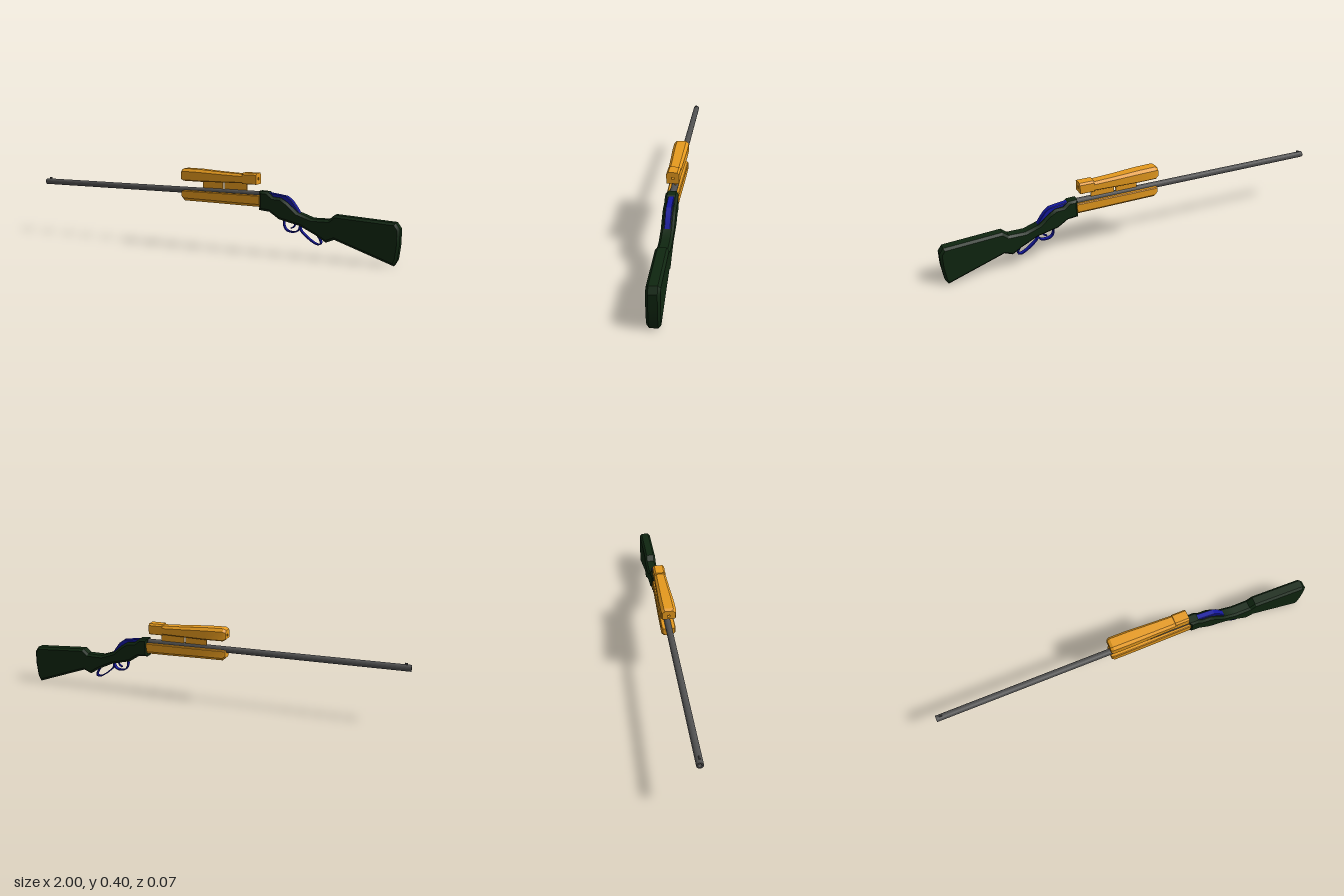
import * as THREE from 'three';
import { toCreasedNormals } from 'three/addons/utils/BufferGeometryUtils.js';

const mat = (color, side = THREE.FrontSide) => new THREE.MeshStandardMaterial({ color, side });

function add(group, name, geometry, material) {
  const mesh = new THREE.Mesh(geometry, material);
  mesh.name = name;
  group.add(mesh);
  return mesh;
}

// Side profile extruded across z to a given half width, with chamfered edges
function slab(points, half, bevel) {
  const shape = new THREE.Shape(points.map(([x, y]) => new THREE.Vector2(x, y)));
  const depth = 2 * (half - bevel);
  const g = new THREE.ExtrudeGeometry(shape, {
    depth, bevelEnabled: bevel > 0, bevelSize: bevel, bevelThickness: bevel,
    bevelOffset: -bevel, bevelSegments: 1,
  });
  g.translate(0, 0, -depth / 2);
  return toCreasedNormals(g, 0.45);
}

// Thin bent strip following a path in the xy plane
function ribbon(points, thickness, half) {
  const curve = new THREE.CatmullRomCurve3(points.map(([x, y]) => new THREE.Vector3(x, y, 0)));
  const n = points.length * 4, left = [], right = [];
  for (let i = 0; i <= n; i++) {
    const p = curve.getPoint(i / n), t = curve.getTangent(i / n);
    const dx = -t.y * thickness / 2, dy = t.x * thickness / 2;
    left.push([p.x + dx, p.y + dy]);
    right.unshift([p.x - dx, p.y - dy]);
  }
  return slab([...left, ...right], half, 0);
}

// Eight-sided cross-section at x: half width w, y0..y1, top and bottom chamfers
function section([x, w, y0, y1, top, bottom]) {
  const a = w - top, b = w - bottom;
  return [[w, y0 + bottom], [w, y1 - top], [a, y1], [-a, y1],
    [-w, y1 - top], [-w, y0 + bottom], [-b, y0], [b, y0]].map(([z, y]) => [x, y, z]);
}

// Skin a closed loop of cross-sections (the last one joins the first)
function loft(stations) {
  const rings = stations.map(section), pos = [], index = [], m = rings.length;
  rings.forEach((ring) => ring.forEach((p) => pos.push(...p)));
  for (let i = 0; i < m; i++) {
    for (let j = 0; j < 8; j++) {
      const k = (j + 1) % 8, n = (i + 1) % m;
      const a = i * 8 + j, b = n * 8 + j, c = n * 8 + k, d = i * 8 + k;
      index.push(a, b, c, a, c, d);
    }
  }
  const g = new THREE.BufferGeometry();
  g.setAttribute('position', new THREE.Float32BufferAttribute(pos, 3));
  g.setIndex(index);
  return toCreasedNormals(g, 0.45);
}

export function createModel() {
  const model = new THREE.Group();
  const steel = mat(0x505050), orange = mat(0xe69a1e), green = mat(0x0f2610);
  const blue = mat(0x1418a0, THREE.DoubleSide);

  // Barrel with a bored muzzle
  const barrelProfile = [[0, -0.9], [0.009, -0.9], [0.009, -1], [0.016, -1], [0.016, 0.34], [0, 0.34]]
    .map(([r, y]) => new THREE.Vector2(r, y));
  const barrel = add(model, 'barrel',
    toCreasedNormals(new THREE.LatheGeometry(barrelProfile, 20), 0.6), steel);
  barrel.rotation.z = -Math.PI / 2;
  barrel.position.y = 0.286;

  // Front sight
  const sight = add(model, 'frontSight', new THREE.BoxGeometry(0.014, 0.01, 0.006), steel);
  sight.position.set(-0.975, 0.304, 0);

  // Fore-end under the barrel
  add(model, 'foreEnd', loft([
    [-0.105, 0, 0.265, 0.265, 0, 0],
    [-0.105, 0.03, 0.247, 0.284, 0.004, 0.012],
    [-0.09, 0.035, 0.234, 0.287, 0.004, 0.014],
    [0.05, 0.034, 0.232, 0.286, 0.004, 0.014],
    [0.2, 0.031, 0.229, 0.285, 0.004, 0.013],
    [0.325, 0.029, 0.227, 0.284, 0.004, 0.013],
    [0.325, 0, 0.265, 0.265, 0, 0],
  ]), orange);

  // Sighting housing with a narrow hole all the way through
  add(model, 'scopeHousing', loft([
    [-0.107, 0.006, 0.355, 0.367, 0, 0],
    [-0.107, 0.032, 0.344, 0.39, 0.012, 0.004],
    [-0.093, 0.037, 0.336, 0.398, 0.014, 0.005],
    [0.0, 0.037, 0.335, 0.396, 0.014, 0.005],
    [0.12, 0.033, 0.337, 0.388, 0.012, 0.004],
    [0.25, 0.03, 0.339, 0.382, 0.011, 0.004],
    [0.25, 0.006, 0.355, 0.367, 0, 0],
  ]), orange);
  add(model, 'scopeRearBlock', loft([
    [0.235, 0.006, 0.355, 0.367, 0, 0],
    [0.235, 0.03, 0.335, 0.39, 0.009, 0.002],
    [0.308, 0.03, 0.335, 0.39, 0.009, 0.002],
    [0.308, 0.006, 0.355, 0.367, 0, 0],
  ]), orange);

  // Thin scope mounts
  for (const [x, w] of [[0.058, 0.112], [0.185, 0.122]]) {
    const mount = add(model, 'scopeMount', new THREE.BoxGeometry(w, 0.05, 0.008), orange);
    mount.position.set(x, 0.32, -0.004);
  }

  // Receiver and stock in one chamfered body
  add(model, 'receiverAndStock', slab([
    [0.322, 0.305], [0.322, 0.212], [0.375, 0.207], [0.425, 0.174], [0.53, 0.15],
    [0.61, 0.112], [0.66, 0.081], [0.70, 0.098], [0.978, 0.002], [0.992, 0.03],
    [1.0, 0.1], [1.0, 0.17], [0.98, 0.198], [0.7, 0.214], [0.672, 0.19],
    [0.59, 0.189], [0.52, 0.213], [0.47, 0.255], [0.435, 0.277], [0.395, 0.28], [0.365, 0.303],
  ], 0.03, 0.011), green);

  // Breech block showing along the top of the receiver
  add(model, 'breechBlock', slab([
    [0.36, 0.22], [0.45, 0.2], [0.526, 0.211], [0.508, 0.238], [0.485, 0.268],
    [0.46, 0.286], [0.42, 0.292], [0.36, 0.3],
  ], 0.014, 0.002), blue);

  // Finger lever: guard loop, then the hand loop
  add(model, 'triggerGuard', ribbon([
    [0.445, 0.18], [0.446, 0.145], [0.46, 0.122], [0.49, 0.115], [0.517, 0.124], [0.53, 0.158],
  ], 0.006, 0.01), blue);
  add(model, 'leverLoop', ribbon([
    [0.53, 0.158], [0.531, 0.128], [0.555, 0.103], [0.59, 0.077], [0.615, 0.066],
    [0.631, 0.071], [0.628, 0.088], [0.6, 0.125], [0.57, 0.143], [0.53, 0.157],
  ], 0.006, 0.01), blue);
  add(model, 'trigger', ribbon([
    [0.497, 0.17], [0.5, 0.15], [0.492, 0.138], [0.48, 0.132],
  ], 0.006, 0.005), blue);

  return model;
}
